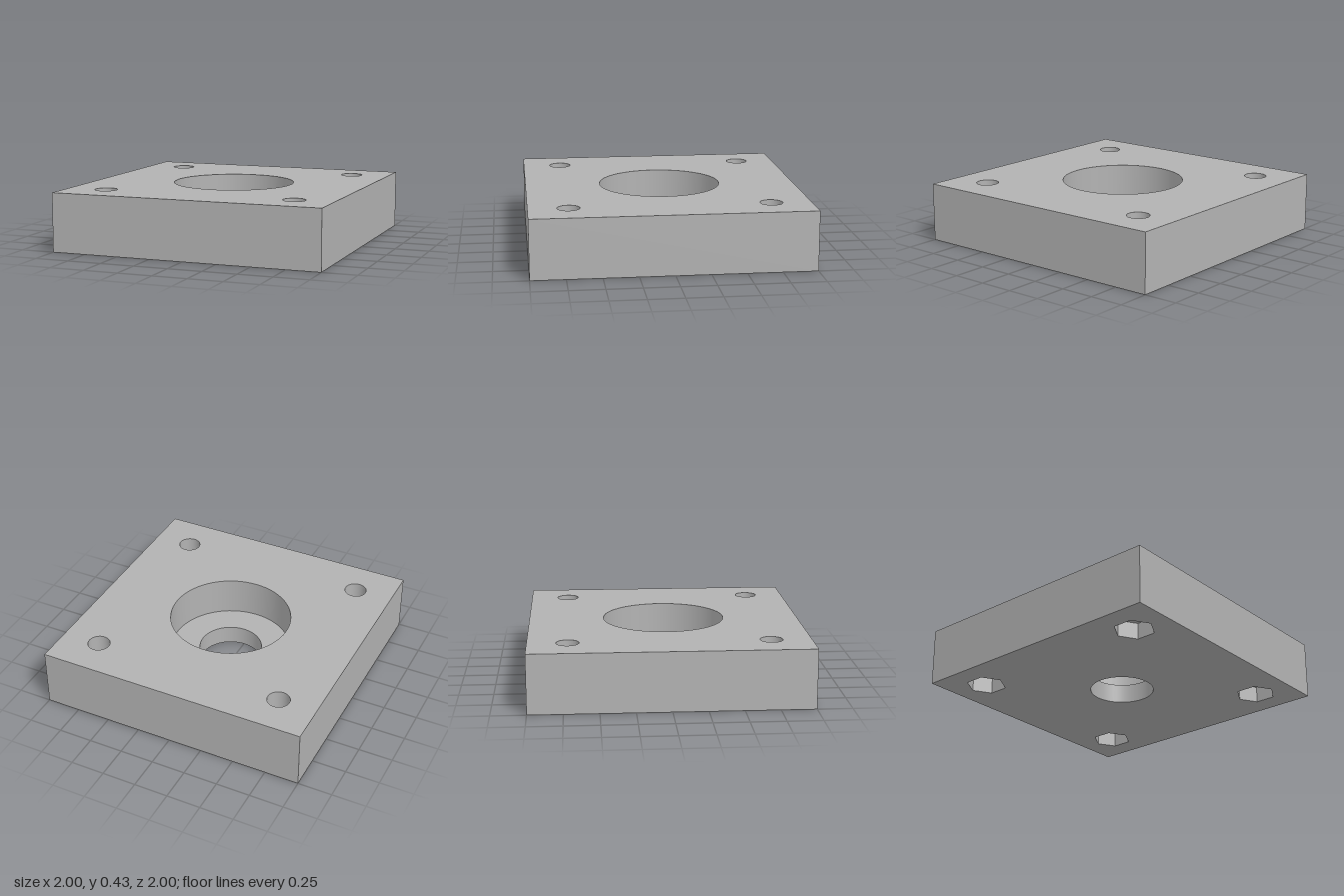
import * as THREE from 'three';

const H = 0.43;        // plate height
const FLOOR = 0.143;   // counterbore floor
const POCKET = 0.12;   // nut pocket depth
const BOLT = 0.715;    // bolt offset from centre
const R = { bore: 0.448, shaft: 0.234, bolt: 0.081, nut: 0.145 };
const ROUND = 64;

// Points of a regular polygon with a corner on the z axis
const ring = (r, n, cx = 0, cy = 0) => Array.from({ length: n }, (_, i) => {
  const a = (i / n) * Math.PI * 2;
  return new THREE.Vector2(cx + r * Math.sin(a), cy + r * Math.cos(a));
});

// Flat horizontal face with holes, facing up or down
function face(outline, holes, y, up) {
  const shape = new THREE.Shape(outline);
  shape.holes = holes.map((h) => new THREE.Path(h));
  const g = new THREE.ShapeGeometry(shape);
  g.rotateX(up ? -Math.PI / 2 : Math.PI / 2);
  return g.translate(0, y, 0);
}

// One revolved strip; running downwards or inwards it faces the axis or up
function strip(r0, y0, r1, y1, n = ROUND, start = 0) {
  const points = [new THREE.Vector2(r0, y0), new THREE.Vector2(r1, y1)];
  let g = new THREE.LatheGeometry(points, n, start);
  if (n < 8) {
    g = g.toNonIndexed();
    g.computeVertexNormals();
  }
  return g;
}

export function createModel() {
  const model = new THREE.Group();
  model.name = 'mountingPlate';
  const grey = new THREE.MeshStandardMaterial({ color: 0xb2b2b2 });
  grey.name = 'grey';

  const add = (parent, name, geometry) => {
    const mesh = new THREE.Mesh(geometry, grey);
    mesh.name = name;
    parent.add(mesh);
  };

  const corners = [[-1, -1], [1, -1], [1, 1], [-1, 1]];
  const square = corners.map(([x, y]) => new THREE.Vector2(x, y));
  const atBolts = (r, n) => corners.map(([x, y]) => ring(r, n, x * BOLT, y * BOLT));

  // Plate body
  add(model, 'plateTop', face(square, [ring(R.bore, ROUND), ...atBolts(R.bolt, ROUND)], H, true));
  add(model, 'plateBottom', face(square, [ring(R.shaft, ROUND), ...atBolts(R.nut, 6)], 0, false));
  add(model, 'plateSides', strip(Math.SQRT2, 0, Math.SQRT2, H, 4, Math.PI / 4));

  // Stepped central bore
  add(model, 'boreWall', strip(R.bore, H, R.bore, FLOOR));
  add(model, 'boreFloor', strip(R.bore, FLOOR, R.shaft, FLOOR));
  add(model, 'shaftHole', strip(R.shaft, FLOOR, R.shaft, 0));

  // Bolt holes with hexagonal nut pockets underneath
  for (const [x, z] of corners) {
    const hole = new THREE.Group();
    hole.name = 'boltHole';
    hole.position.set(x * BOLT, 0, z * BOLT);
    add(hole, 'boltHoleWall', strip(R.bolt, H, R.bolt, POCKET));
    add(hole, 'nutPocketCeiling', face(ring(R.nut, 6), [ring(R.bolt, ROUND)], POCKET, false));
    add(hole, 'nutPocketWall', strip(R.nut, POCKET, R.nut, 0, 6));
    model.add(hole);
  }
  return model;
}
